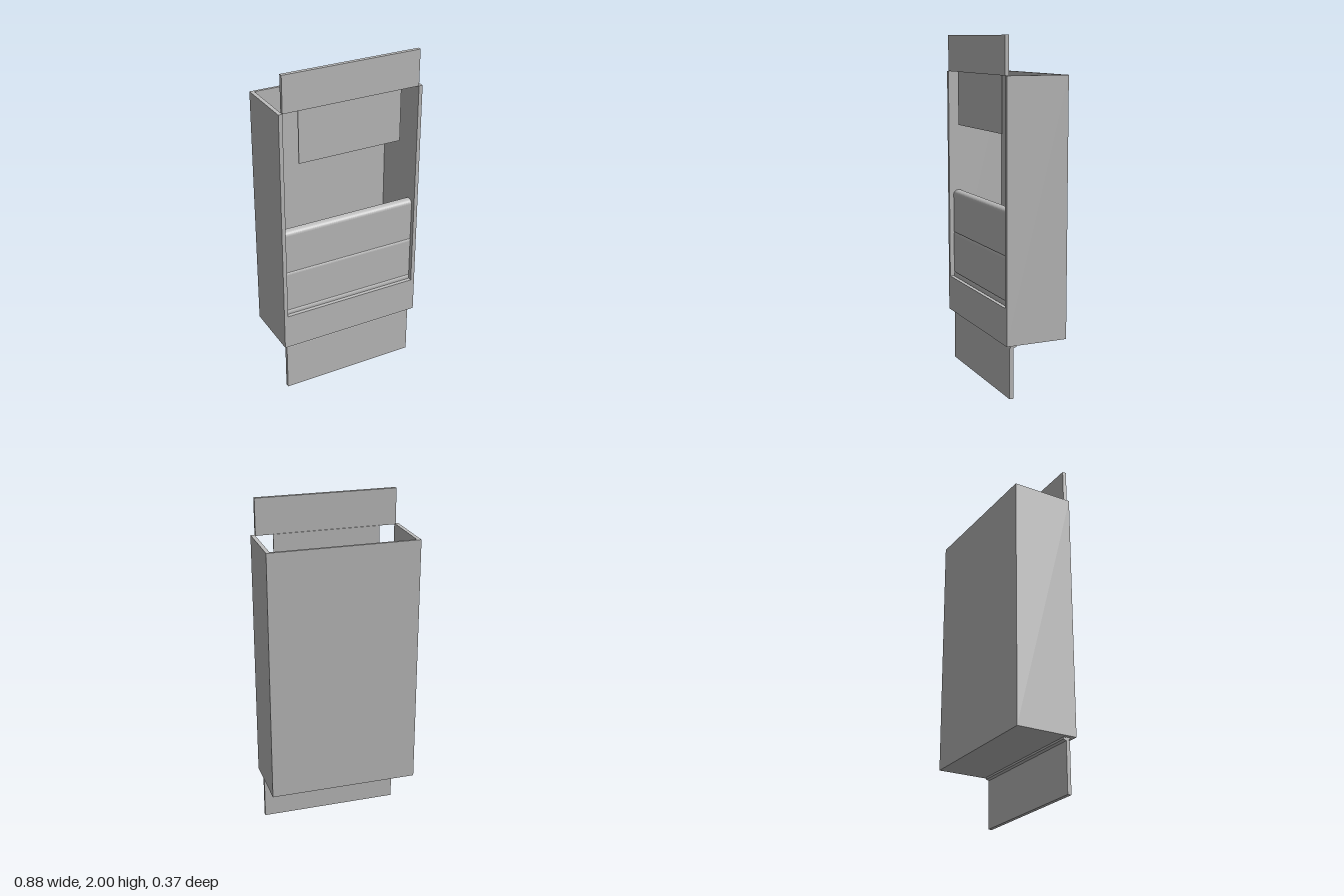
import * as THREE from 'three';

export function createModel() {
  const model = new THREE.Group();
  const grey = new THREE.MeshStandardMaterial({ color: 0xbfbfbf });
  grey.name = 'plain grey';

  // Box given by its lower and upper limits on each axis
  function slab(name, x0, x1, y0, y1, z0, z1) {
    const mesh = new THREE.Mesh(new THREE.BoxGeometry(x1 - x0, y1 - y0, z1 - z0), grey);
    mesh.position.set((x0 + x1) / 2, (y0 + y1) / 2, (z0 + z1) / 2);
    mesh.name = name;
    model.add(mesh);
  }

  const inner = 0.415, outer = 0.438, base = 0.312, top = 1.788, depth = 0.183;

  // Open-topped cabinet
  slab('rightWall', -outer, -inner, base, top, -depth, depth);
  slab('leftWall', inner, outer, base, top, -depth, depth);
  slab('backWall', -inner, inner, base, top, -depth, -0.167);
  slab('floor', -inner, inner, base, base + 0.018, -0.167, 0.16);
  slab('frontApron', -inner, inner, base, 0.525, 0.16, depth);

  // Header board above and the panel hanging behind it
  slab('headerBoard', -inner, inner, top, 2, 0.16, depth);
  slab('hangingPanel', -0.315, 0.315, 1.472, top + 0.002, 0.155, 0.161);

  // Stacked slats, each with a shoulder rolled back at the top
  function slat(bottom, crest) {
    const s = new THREE.Shape();
    s.moveTo(0.133, bottom);
    s.lineTo(0.156, bottom);
    s.lineTo(0.156, crest - 0.025);
    s.quadraticCurveTo(0.154, crest, 0.115, crest);
    s.lineTo(0.115, crest - 0.012);
    s.lineTo(0.133, crest - 0.018);
    s.closePath();
    const g = new THREE.ExtrudeGeometry(s, { depth: inner * 2, bevelEnabled: false, curveSegments: 8 });
    // Profile x becomes z, extrusion runs along -x
    g.rotateY(-Math.PI / 2);
    g.translate(inner, 0, 0);
    const mesh = new THREE.Mesh(g, grey);
    mesh.name = 'slat';
    model.add(mesh);
  }
  const crests = [1.065, 0.812, 0.559, 0.31];
  crests.forEach((crest, i) => slat(i < 3 ? crests[i + 1] - 0.008 : 0, crest));

  return model;
}
